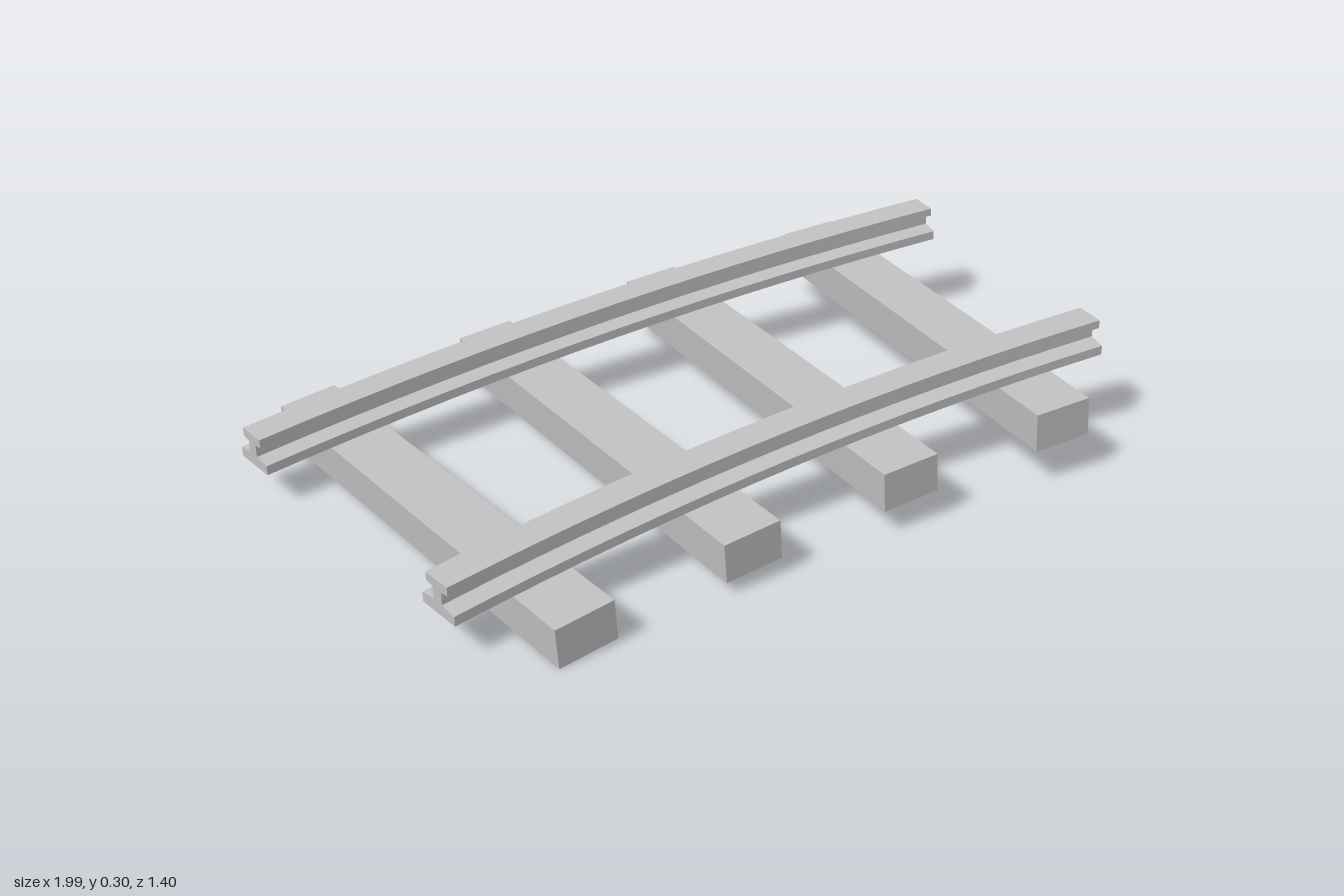
import * as THREE from 'three';

const SWEEP = THREE.MathUtils.degToRad(14.95); // angle covered by the curve
const CX = -1, CZ = 7.175;                     // centre of the curve
const RISE = 0.13;                             // climb from start to end
const MID_R = 7.27;

// I-shaped rail section, half of it mirrored: [offset, height]
function railShape() {
  const half = [[0.06, 0], [0.06, 0.024], [0.016, 0.03], [0.016, 0.06], [0.04, 0.064], [0.04, 0.085]];
  const pts = [...half, ...half.slice().reverse().map(([u, y]) => [-u, y])];
  return new THREE.Shape(pts.map(([u, y]) => new THREE.Vector2(u, y)));
}

// Straight extrusion bent along the climbing arc
function railGeometry(radius) {
  const geo = new THREE.ExtrudeGeometry(railShape(), { depth: 1, steps: 16, bevelEnabled: false });
  const p = geo.attributes.position;
  for (let i = 0; i < p.count; i++) {
    const r = radius + p.getX(i), t = p.getZ(i), a = t * SWEEP;
    p.setXYZ(i, CX + r * Math.sin(a), 0.09 + p.getY(i) + RISE * t, CZ - r * Math.cos(a));
  }
  geo.computeVertexNormals();
  return geo;
}

export function createModel() {
  const group = new THREE.Group();
  group.name = 'curvedTrack';
  const grey = new THREE.MeshStandardMaterial({ color: 0xc0c0c0 });
  grey.name = 'grey';

  // Two rails
  for (const [name, radius] of [['outerRail', 7.67], ['innerRail', 6.88]]) {
    const rail = new THREE.Mesh(railGeometry(radius), grey);
    rail.name = name;
    group.add(rail);
  }

  // Four sleepers, turned and pitched to follow the curve
  const sleeperGeo = new THREE.BoxGeometry(0.15, 0.1, 1.208);
  const pitch = Math.atan(RISE / (MID_R * SWEEP));
  for (let i = 0; i < 4; i++) {
    const t = (i + 0.5) / 4, a = t * SWEEP;
    const sleeper = new THREE.Mesh(sleeperGeo, grey);
    sleeper.name = `sleeper${i + 1}`;
    sleeper.position.set(CX + MID_R * Math.sin(a), 0.039 + RISE * t, CZ - MID_R * Math.cos(a));
    sleeper.rotation.set(0, -a, pitch);
    group.add(sleeper);
  }
  return group;
}
